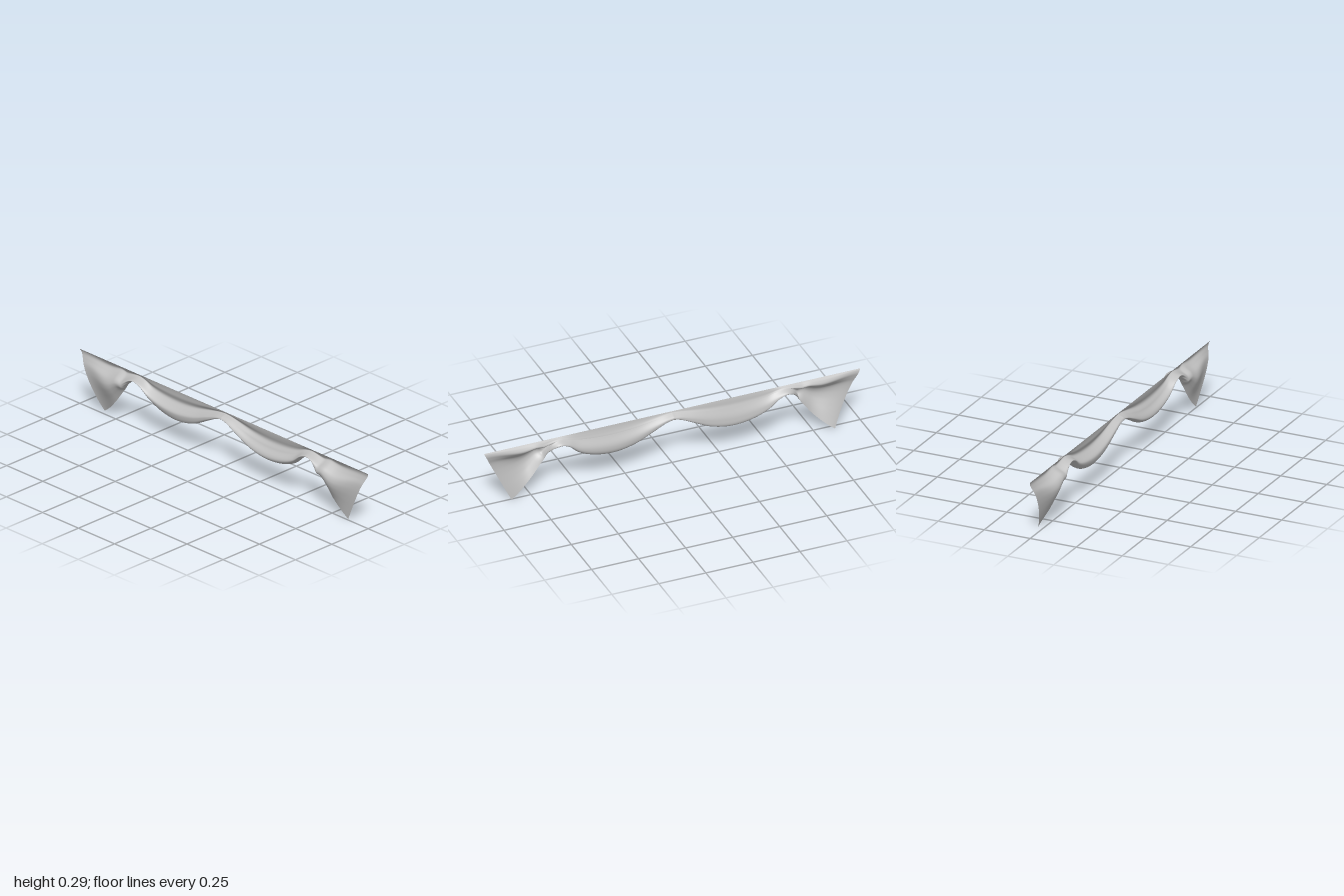
import * as THREE from 'three';

const TOP = 0.295;
const { lerp, smoothstep } = THREE.MathUtils;

// Hem outline of one half: (x on top edge, x at hem, y at hem)
const hem = new THREE.CatmullRomCurve3([
  [1, 0.855, 0], [0.92, 0.81, 0.035], [0.8, 0.745, 0.1], [0.71, 0.69, 0.175],
  [0.65, 0.645, 0.235], [0.6, 0.602, 0.256], [0.56, 0.56, 0.24], [0.5, 0.5, 0.187],
  [0.42, 0.42, 0.153], [0.31, 0.31, 0.14], [0.2, 0.2, 0.163], [0.1, 0.1, 0.214],
  [0.04, 0.04, 0.245], [0, 0, 0.256],
].map(p => new THREE.Vector3(...p)));

// Cross-sections from top edge to hem: (drop as a fraction, z).
// The swag rolls under and its end tucks against the back of the sheet.
const swagSection = [
  [0, 0], [0.2, -0.005], [0.4, -0.012], [0.55, 0.004], [0.72, 0.025],
  [0.9, 0.022], [1, 0], [0.92, -0.025], [0.66, -0.032], [0.3, -0.012],
];
const tailSection = [
  [0, 0], [0.08, -0.012], [0.17, -0.018], [0.27, -0.002], [0.38, 0.026],
  [0.5, 0.037], [0.62, 0.034], [0.75, 0.02], [0.88, 0], [1, -0.02],
];

const bump = (a, centre, width) => Math.exp(-(((a - centre) / width) ** 2));

// Cross-section curve at distance a from the centre of the top edge
function sectionAt(a) {
  const tail = smoothstep(a, 0.6, 0.74);
  const edge = smoothstep(a, 0.78, 1);
  const swell = 1 + 0.15 * bump(a, 0.6, 0.07) - 0.1 * bump(a, 0, 0.07);
  const points = swagSection.map(([t, z], k) => {
    const [tailT, tailZ] = tailSection[k];
    return new THREE.Vector3(
      lerp(t, tailT ** (1 + 0.5 * edge), tail),
      lerp(z * swell, tailZ * (1 - 0.7 * edge), tail), 0);
  });
  const lowest = Math.max(...points.map(p => p.x));
  points.forEach(p => { p.x /= lowest; });
  return new THREE.CatmullRomCurve3(points);
}

// Lays a grid of cloth, column by column across the width
function drapedCloth(columns, rows) {
  const position = [], index = [];
  for (let i = 0; i <= columns; i++) {
    const s = (i / columns) * 2 - 1;
    const side = s < 0 ? -1 : 1;
    const h = hem.getPoint(1 - Math.abs(s));
    const section = sectionAt(h.x);
    const tail = smoothstep(h.x, 0.6, 0.74);
    const edge = smoothstep(h.x, 0.78, 1);
    for (let j = 0; j <= rows; j++) {
      const v = j / rows;
      const p = section.getPoint(v);
      const t = THREE.MathUtils.clamp(p.x, 0, 1);
      // Soft pleats along the swags
      const pleat = 0.003 * Math.sin(v * 24 + 5 * s) * Math.sin(Math.PI * v) * (1 - tail);
      // Tail hems flare forward near the knots; the right tip curls back
      const flare = 0.022 * tail * (1 - edge) * t ** 2;
      const curl = side < 0 ? -0.022 * edge * t ** 4 : 0;
      position.push(side * lerp(h.x, h.y, t), lerp(TOP, h.z, t), p.y + pleat + flare + curl);
      if (i < columns && j < rows) {
        const q = i * (rows + 1) + j, r = q + rows + 1;
        index.push(q, q + 1, r, q + 1, r + 1, r);
      }
    }
  }
  const geometry = new THREE.BufferGeometry();
  geometry.setAttribute('position', new THREE.Float32BufferAttribute(position, 3));
  geometry.setIndex(index);
  geometry.computeVertexNormals();
  return geometry;
}

export function createModel() {
  const group = new THREE.Group();
  group.name = 'drapedValance';
  const fabric = new THREE.MeshStandardMaterial({ color: 0xc0c0c0, side: THREE.DoubleSide });
  fabric.name = 'grey fabric';
  const cloth = new THREE.Mesh(drapedCloth(240, 64), fabric);
  cloth.name = 'swagCloth';
  group.add(cloth);
  return group;
}
